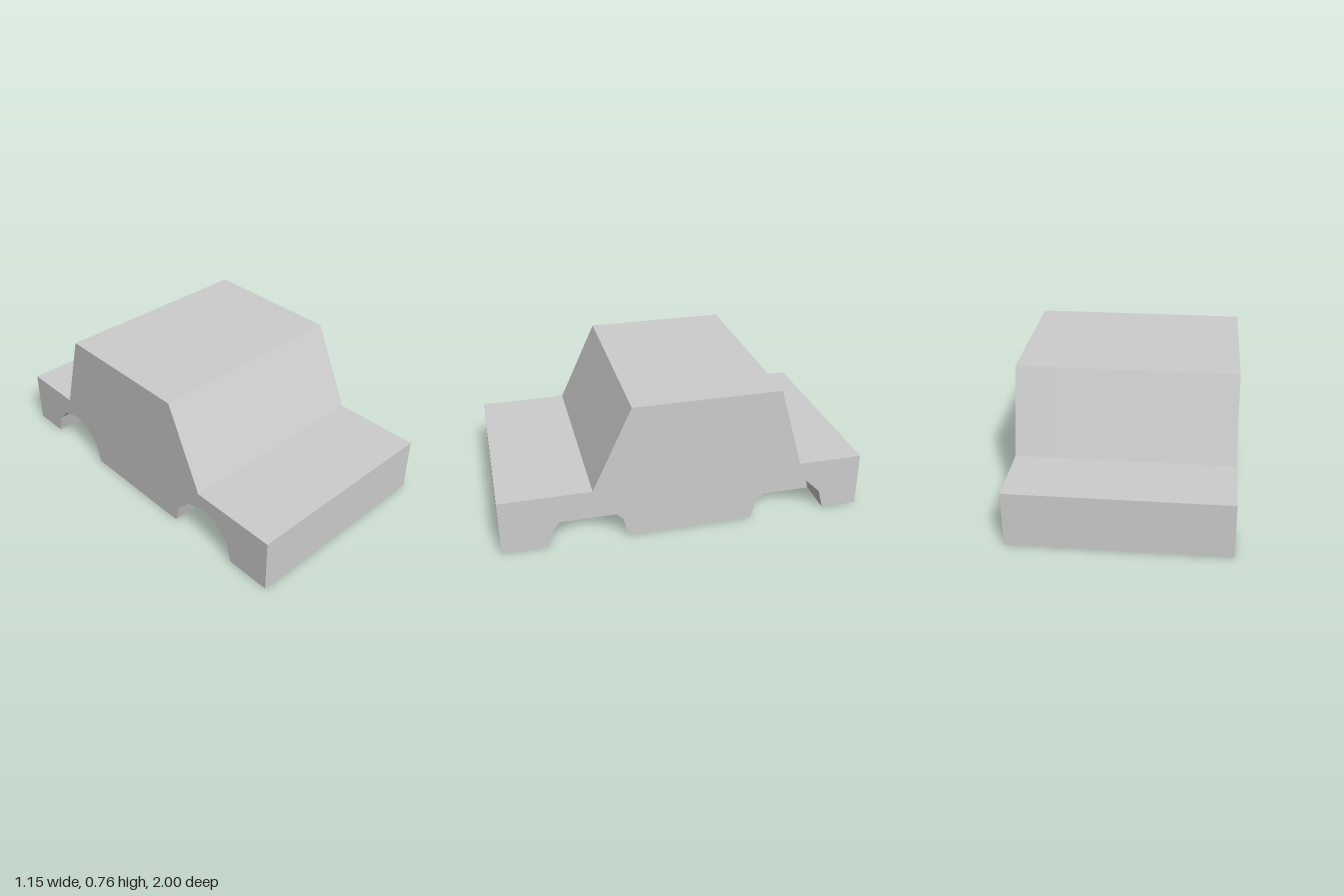
import * as THREE from 'three';

const HALF_WIDTH = 0.577;
const WELL_DEPTH = 0.205;
const INNER = HALF_WIDTH - WELL_DEPTH;
const WELL_RADIUS = 0.215;
const WELLS = [0.535, -0.585]; // z of the front and rear wheel centres

// Side outline in (-z, y), optionally with the wheel arches cut out
function bodyShape(withArches) {
  const pts = [[1, 0], [1, 0.305], [0.507, 0.305], [0.292, 0.765], [-0.507, 0.765], [-0.643, 0.305], [-1, 0.305], [-1, 0]];
  if (withArches) {
    for (const z of [...WELLS].reverse()) {
      for (let i = 0; i <= 6; i++) {
        const a = Math.PI - (i * Math.PI) / 6;
        pts.push([z + WELL_RADIUS * Math.cos(a), WELL_RADIUS * Math.sin(a)]);
      }
    }
  }
  return new THREE.Shape(pts.map(([z, y]) => new THREE.Vector2(-z, y)));
}

// Extrude a side outline from x0 to x1, leaving out hidden caps on the inner planes
function slab(shape, x0, x1) {
  const geo = new THREE.ExtrudeGeometry(shape, { depth: x1 - x0, bevelEnabled: false });
  geo.rotateY(Math.PI / 2).translate(x0, 0, 0);
  const p = geo.attributes.position;
  const kept = [];
  const onInner = (i) => Math.abs(Math.abs(p.getX(i)) - INNER) < 1e-4;
  for (let i = 0; i < p.count; i += 3) {
    const sameSide = p.getX(i) * p.getX(i + 1) > 0 && p.getX(i) * p.getX(i + 2) > 0;
    if (sameSide && onInner(i) && onInner(i + 1) && onInner(i + 2)) continue;
    for (let k = i; k < i + 3; k++) kept.push(p.getX(k), p.getY(k), p.getZ(k));
  }
  const out = new THREE.BufferGeometry();
  out.setAttribute('position', new THREE.Float32BufferAttribute(kept, 3));
  out.computeVertexNormals();
  return out;
}

export function createModel() {
  const model = new THREE.Group();
  model.name = 'carBody';
  const paint = new THREE.MeshStandardMaterial({ color: 0xcccccc });
  paint.name = 'light grey';

  const add = (name, geometry) => {
    const mesh = new THREE.Mesh(geometry, paint);
    mesh.name = name;
    model.add(mesh);
    return mesh;
  };

  // Full-profile centre and the two arched flanks
  add('bodyCentre', slab(bodyShape(false), -INNER, INNER));
  add('leftFlank', slab(bodyShape(true), INNER, HALF_WIDTH));
  add('rightFlank', slab(bodyShape(true), -HALF_WIDTH, -INNER));

  // Inner walls of the wheel wells
  for (const side of [1, -1]) {
    WELLS.forEach((z, i) => {
      const wall = new THREE.CircleGeometry(WELL_RADIUS, 6, 0, Math.PI);
      wall.rotateY((side * Math.PI) / 2).translate(side * INNER, 0, z);
      add(`${side > 0 ? 'left' : 'right'}${i ? 'Rear' : 'Front'}WheelWellWall`, wall);
    });
  }
  return model;
}
